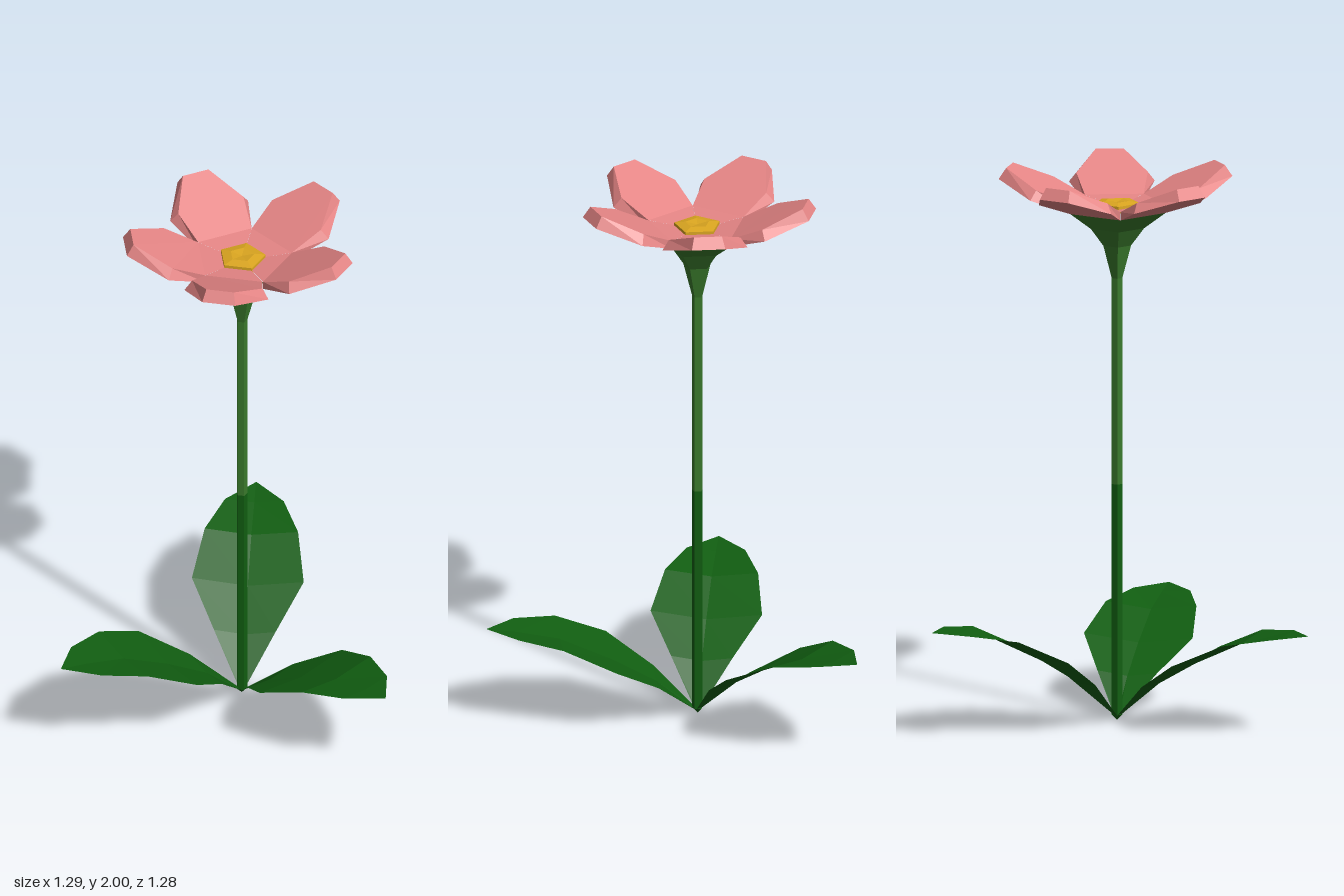
import * as THREE from 'three';

const mat = (name, color, side = THREE.FrontSide) =>
  new THREE.MeshStandardMaterial({ name, color, side, flatShading: true });

function indexed(points, index) {
  const g = new THREE.BufferGeometry();
  g.setAttribute('position', new THREE.Float32BufferAttribute(points.flat(), 3));
  g.setIndex(index);
  const flat = g.toNonIndexed();
  flat.computeVertexNormals();
  return flat;
}

// Five-sided turned shape with one corner towards -x
function turned(profile) {
  const pts = profile.map(([r, y]) => new THREE.Vector2(r, y));
  const g = new THREE.LatheGeometry(pts, 5, -Math.PI / 2).toNonIndexed();
  g.computeVertexNormals();
  return g;
}

// Petal: a tilted slab along +x joined to the flower centre
function petalGeometry() {
  const top = [[0.145, 1.885, 0.105], [0.265, 1.94, 0.128], [0.395, 2.0, 0.05]];
  const bottom = [[0.145, 1.855, 0.105], [0.28, 1.906, 0.153], [0.42, 1.96, 0.06]];
  const loop = (half) => [...half, ...half.slice().reverse().map(([x, y, z]) => [x, y, -z])];
  const points = [...loop(top), ...loop(bottom), [0, 1.865, 0]];
  const index = [12, 0, 5];
  for (let i = 1; i < 5; i++) index.push(0, i, i + 1, 6, 7 + i, 6 + i);
  for (let i = 0; i < 5; i++) index.push(i, i + 6, i + 7, i, i + 7, i + 1);
  return indexed(points, index);
}

// Leaf: cross-sections along +z, folded along the midrib
function leafGeometry(lift) {
  const sections = [ // distance, height, half width, fold depth
    [0, 0.01, 0.008, 0.004], [0.15, 0.145, 0.11, 0.015], [0.31, 0.245, 0.2, 0.025],
    [0.495, 0.325, 0.167, 0.02], [0.65, 0.347, 0.105, 0.01], [0.755, 0.352, 0.002, 0],
  ];
  const points = [], index = [];
  sections.forEach(([z, y, w, fold], i) => {
    const h = y * lift;
    points.push([-w, h, z], [0, h - fold, z], [w, h, z]);
    if (i === 0) return;
    for (let k = 0; k < 2; k++) {
      const a = (i - 1) * 3 + k, b = i * 3 + k;
      index.push(a, b, b + 1, a, b + 1, a + 1);
    }
  });
  return indexed(points, index);
}

export function createModel() {
  const model = new THREE.Group();
  model.name = 'flower';
  const leafGreen = mat('leaf green', 0x115e11, THREE.DoubleSide);
  const stemGreen = mat('stem green', 0x3a7a2c);
  const pink = mat('petal pink', 0xe58585);
  const gold = mat('centre gold', 0xdaa520);

  const plant = new THREE.Group();
  plant.name = 'plant';
  plant.position.set(0.098, 0, -0.115);
  model.add(plant);
  const add = (name, geometry, material, turn = 0) => {
    const mesh = new THREE.Mesh(geometry, material);
    mesh.name = name;
    mesh.rotation.y = turn;
    plant.add(mesh);
  };

  // Stem in two greens, flaring into the calyx
  add('lowerStem', turned([[0, 0], [0.02, 0.02], [0.02, 0.86]]), leafGreen);
  add('upperStem', turned([[0.02, 0.86], [0.02, 1.61]]), stemGreen);
  add('calyx', turned([[0.02, 1.61], [0.052, 1.73], [0.1, 1.795], [0.179, 1.855]]), stemGreen);

  // Blossom
  const petal = petalGeometry();
  for (let i = 0; i < 5; i++) add('petal' + (i + 1), petal, pink, (i * Math.PI * 2) / 5);
  add('flowerCentre', turned([[0.087, 1.86], [0.085, 1.885], [0.045, 1.892], [0, 1.886]]), gold);

  // Leaves around the foot
  add('frontLeaf', leafGeometry(1), leafGreen);
  add('rightLeaf', leafGeometry(1.05), leafGreen, Math.atan2(-0.755, -0.15));
  add('backLeaf', leafGeometry(1.11), leafGreen, Math.atan2(0.55, -0.52));
  return model;
}
